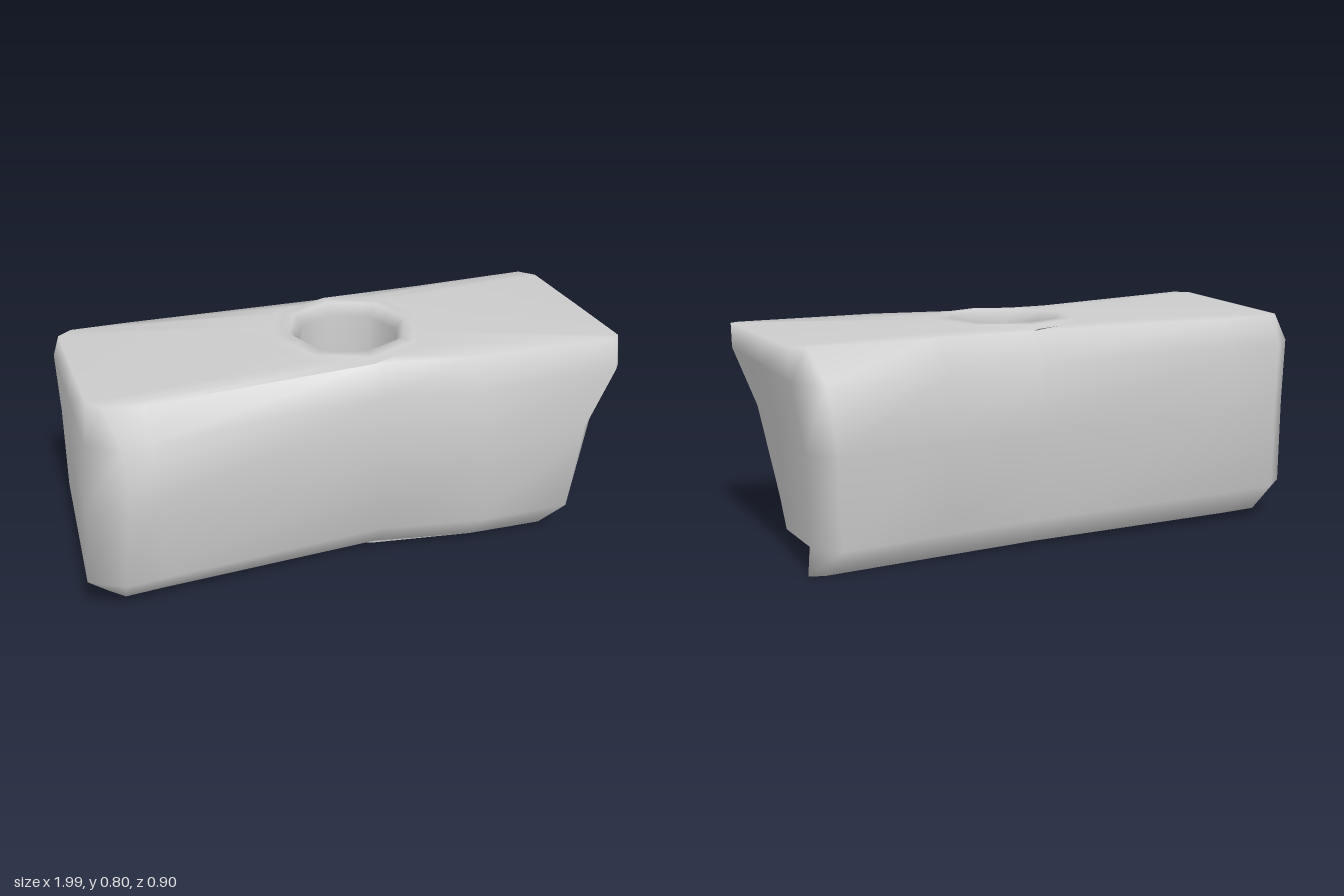
import * as THREE from 'three';

const N = 16; // points in every ring
const lerp = THREE.MathUtils.lerp;

// Ring around the shaft hole: an octagon with an extra point halfway along each side
function holeRing(r, y) {
  return Array.from({ length: N }, (_, i) => {
    const a = (i / N) * Math.PI * 2;
    const k = i % 2 ? r * Math.cos(Math.PI / 8) : r;
    return [0.065 + k * Math.cos(a), y, -0.03 + k * Math.sin(a)];
  });
}

// Outline of the block at one level, from four corners [x, y, z, cut in x, cut in z]
// and an offset [x, y] for the middle of the right end
function outline(fr, fl, bl, br, bulge = [0, 0]) {
  const end = (p) => [p[0], p[1], p[2] - Math.sign(p[2]) * p[4]];
  const side = (p) => [p[0] - Math.sign(p[0]) * p[3], p[1], p[2]];
  const mid = (p, q, x, dz) => {
    const t = (x - p[0]) / (q[0] - p[0]);
    return [x, Math.min(lerp(p[1], q[1], t), 0.778), lerp(p[2], q[2], t) + dz];
  };
  const half = (p, q, dx, dy) => [(p[0] + q[0]) / 2 + dx, (p[1] + q[1]) / 2 + dy, (p[2] + q[2]) / 2];
  return [
    half(br, fr, ...bulge), end(fr), side(fr),
    mid(fr, fl, 0.45, -0.005), mid(fr, fl, 0.08, -0.065), mid(fr, fl, -0.74, -0.012),
    side(fl), end(fl), half(fl, bl, 0, 0), end(bl), side(bl),
    mid(bl, br, -0.7, 0), mid(bl, br, 0.08, 0.02), mid(bl, br, 0.45, 0.01),
    side(br), end(br),
  ];
}

// Joins closed rings into one closed, ring-shaped skin
function skin(rings) {
  const index = [];
  const M = rings.length;
  for (let j = 0; j < M; j++) {
    for (let i = 0; i < N; i++) {
      const a = j * N + i, b = j * N + ((i + 1) % N);
      const c = ((j + 1) % M) * N + ((i + 1) % N), d = ((j + 1) % M) * N + i;
      index.push(a, b, c, a, c, d);
    }
  }
  const g = new THREE.BufferGeometry();
  g.setAttribute('position', new THREE.Float32BufferAttribute(rings.flat(2), 3));
  g.setIndex(index);
  g.computeVertexNormals();
  return g;
}

export function createModel() {
  const group = new THREE.Group();
  group.name = 'hammerHead';
  const rings = [
    // hole wall, upper lip and the slightly raised pad around it
    holeRing(0.19, 0.05), holeRing(0.182, 0.4), holeRing(0.19, 0.75),
    holeRing(0.22, 0.792), holeRing(0.265, 0.79), holeRing(0.295, 0.778),
    // top edge
    outline([0.99, 0.775, 0.33, 0.03, 0.02], [-0.935, 0.8, 0.33, 0.045, 0.05],
      [-0.95, 0.775, -0.34, 0.05, 0.04], [0.95, 0.77, -0.35, 0.05, 0.05]),
    // upper side
    outline([0.98, 0.68, 0.39, 0.03, 0.04], [-0.96, 0.69, 0.44, 0.11, 0.07],
      [-0.97, 0.68, -0.415, 0.08, 0.07], [0.955, 0.66, -0.45, 0.09, 0.1]),
    // waist
    outline([0.9, 0.46, 0.4, 0.06, 0.07], [-0.98, 0.45, 0.45, 0.13, 0.07],
      [-0.965, 0.45, -0.41, 0.08, 0.07], [0.91, 0.42, -0.44, 0.08, 0.1]),
    // lower side, with the end ridge above the undercut corner
    outline([0.86, 0.14, 0.41, 0.07, 0.2], [-1, 0.15, 0.43, 0.12, 0.07],
      [-0.97, 0.13, -0.4, 0.08, 0.07], [0.9, 0.1, -0.425, 0.08, 0.09], [0.015, -0.045]),
    // bottom edge
    outline([0.76, 0.02, 0.32, 0.03, 0.05], [-0.92, 0.03, 0.32, 0.05, 0.05],
      [-0.9, 0.03, -0.34, 0.05, 0.05], [0.91, 0, -0.345, 0.05, 0.02], [-0.02, 0.005]),
    // lower pad and lip
    holeRing(0.295, 0.025), holeRing(0.265, 0.014), holeRing(0.22, 0.012),
  ];
  const head = new THREE.Mesh(skin(rings), new THREE.MeshStandardMaterial({ color: 0xcccccc }));
  head.name = 'headWithShaftHole';
  group.add(head);
  return group;
}
